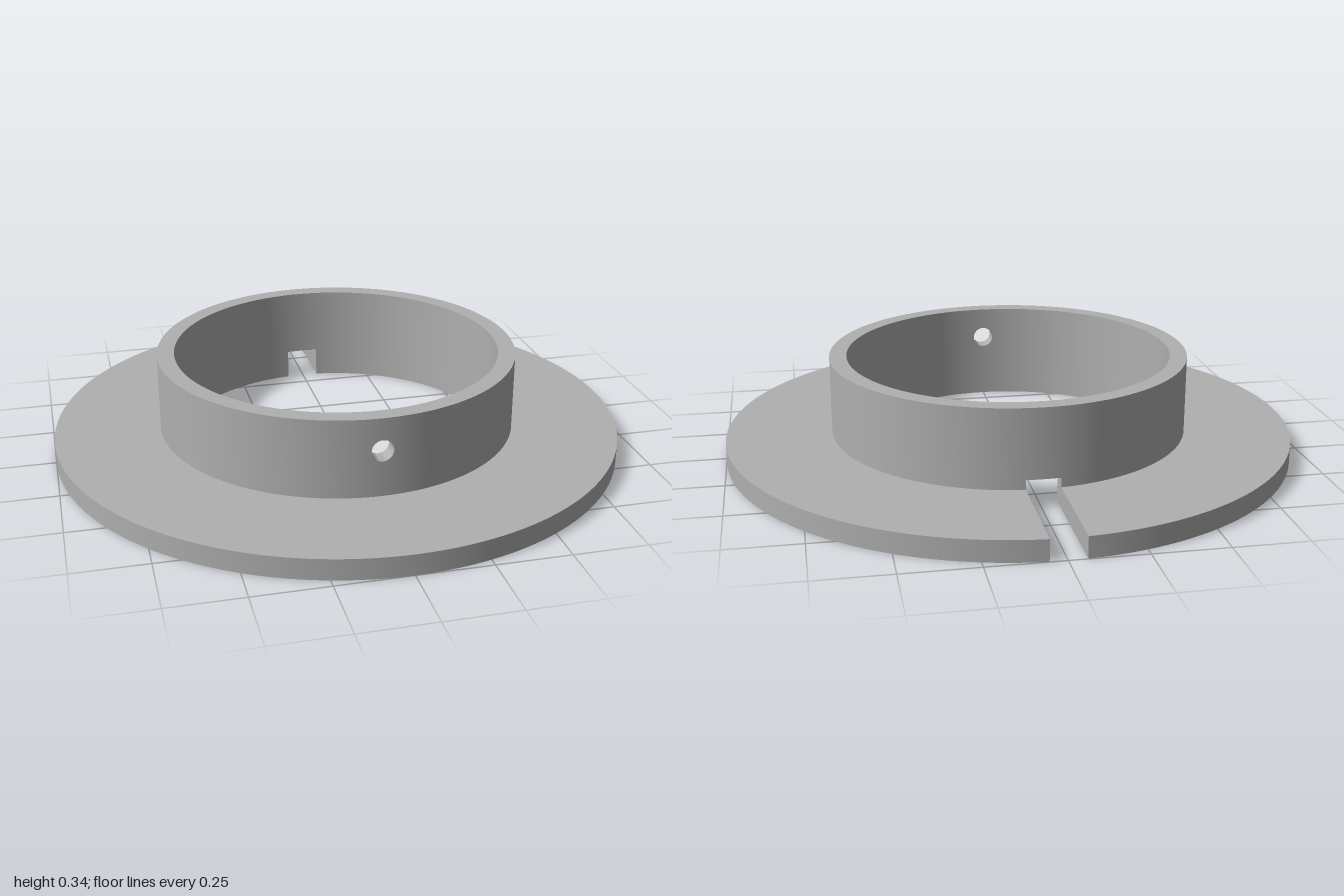
import * as THREE from 'three';
import { toCreasedNormals } from 'three/addons/utils/BufferGeometryUtils.js';

const BORE = 0.57, COLLAR = 0.63, FLANGE = 1;
const FLANGE_TOP = 0.072, NOTCH_TOP = 0.105, TOP = 0.345;
const PANEL = 0.09; // half width of the drilled front part of the collar

// Ring with a straight-sided gap from x0 to x1 at the back, from y0 up to y1
function splitRing(outer, inner, x0, x1, y0, y1) {
  const s = new THREE.Shape();
  s.absarc(0, 0, outer, Math.acos(x0 / outer), Math.acos(x1 / outer) + Math.PI * 2, false);
  s.absarc(0, 0, inner, Math.acos(x1 / inner) + Math.PI * 2, Math.acos(x0 / inner), true);
  const g = new THREE.ExtrudeGeometry(s, { depth: y1 - y0, bevelEnabled: false, curveSegments: 128 });
  g.rotateX(-Math.PI / 2).translate(0, y0, 0);
  return toCreasedNormals(g, 0.5);
}

// Curved piece of collar wall with a round hole through it
function drilledPanel() {
  const n = 8, pts = [];
  for (let i = 0; i <= n; i++) pts.push(new THREE.Vector2(-PANEL + (2 * PANEL * i) / n, NOTCH_TOP));
  for (let i = n; i >= 0; i--) pts.push(new THREE.Vector2(-PANEL + (2 * PANEL * i) / n, TOP));
  const s = new THREE.Shape(pts);
  s.holes.push(new THREE.Path().absarc(0, 0.232, 0.037, 0, Math.PI * 2, true));
  let g = new THREE.ExtrudeGeometry(s, { depth: 1, bevelEnabled: false, curveSegments: 24 });
  const p = g.attributes.position;
  const side = [];
  // Wrap the two faces onto the bore and the outer wall
  for (let i = 0; i < p.count; i++) {
    side[i] = p.getZ(i) > 0.5 ? 1 : -1;
    const r = side[i] > 0 ? COLLAR : BORE;
    p.setZ(i, Math.sqrt(r * r - p.getX(i) ** 2));
  }
  g = toCreasedNormals(g, 0.5);
  const faces = g.groups[0];
  for (let i = faces.start; i < faces.start + faces.count; i++) {
    const r = side[i] > 0 ? COLLAR : -BORE;
    g.attributes.normal.setXYZ(i, p.getX(i) / r, 0, p.getZ(i) / r);
  }
  return g;
}

export function createModel() {
  const group = new THREE.Group();
  const grey = new THREE.MeshStandardMaterial({ color: 0xb0b0b0 });
  grey.name = 'grey';
  const add = (name, geometry) => {
    const mesh = new THREE.Mesh(geometry, grey);
    mesh.name = name;
    group.add(mesh);
    return mesh;
  };

  // Slotted base flange
  add('flange', splitRing(FLANGE, BORE, -0.06, 0.055, 0, FLANGE_TOP));
  // Collar foot, notched in line with the slot
  add('collarFoot', splitRing(COLLAR, BORE, -0.06, 0.055, FLANGE_TOP, NOTCH_TOP));
  // Upper collar, its gap turned to the front and closed by the drilled panel
  add('collar', splitRing(COLLAR, BORE, -PANEL, PANEL, NOTCH_TOP, TOP)).rotation.y = Math.PI;
  add('drilledCollarFront', drilledPanel());
  return group;
}
